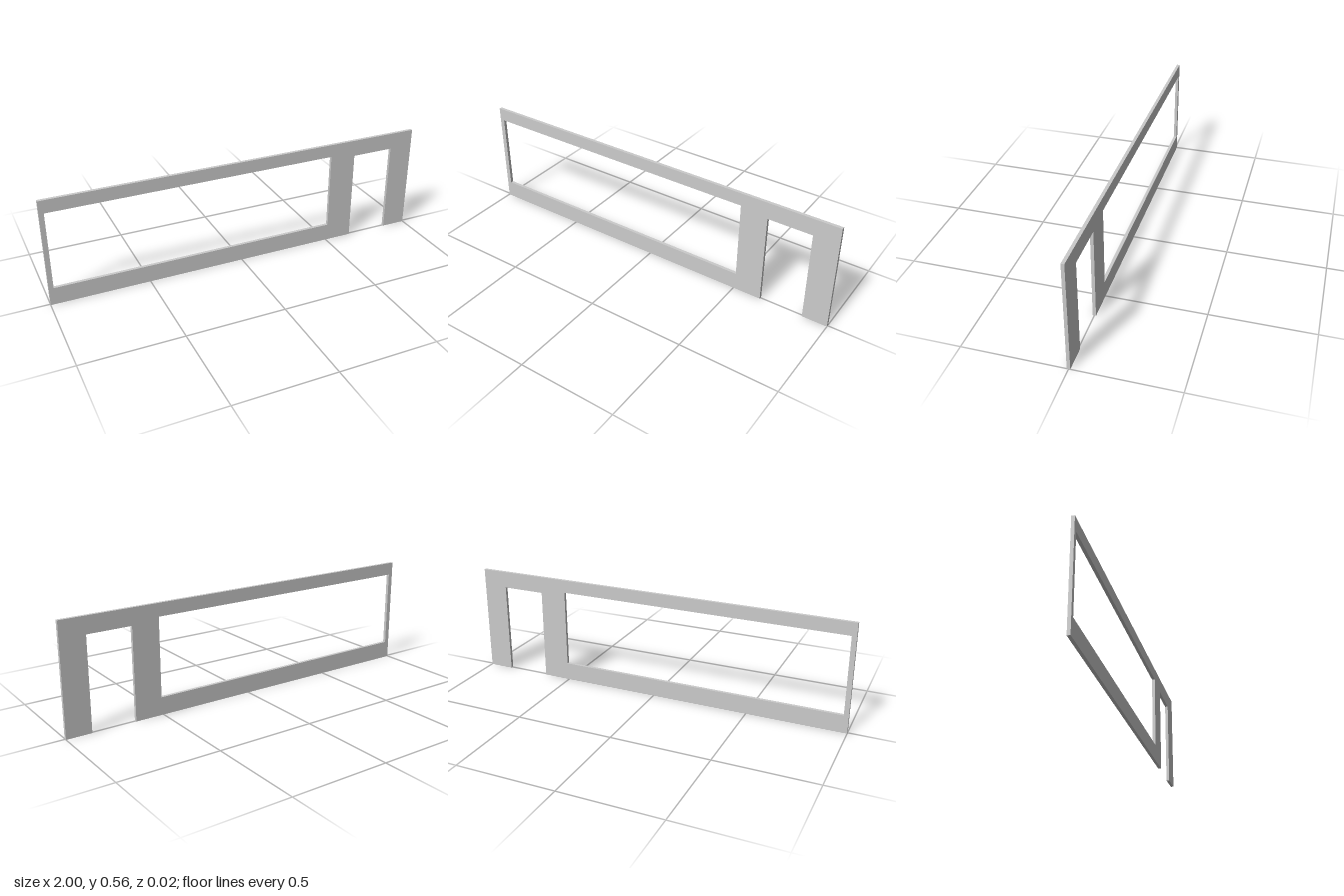
import * as THREE from 'three';

const HEIGHT = 0.556;
const DEPTH = 0.016;

export function createModel() {
  const group = new THREE.Group();
  group.name = 'wallPanel';

  // Wall outline, notched at the bottom by the doorway
  const outline = new THREE.Shape([
    [-1, 0], [0.647, 0], [0.647, 0.47], [0.872, 0.47],
    [0.872, 0], [1, 0], [1, HEIGHT], [-1, HEIGHT],
  ].map(([x, y]) => new THREE.Vector2(x, y)));

  // Wide window opening
  outline.holes.push(new THREE.Path([
    [-0.976, 0.09], [-0.976, 0.49], [0.508, 0.49], [0.508, 0.09],
  ].map(([x, y]) => new THREE.Vector2(x, y))));

  const geometry = new THREE.ExtrudeGeometry(outline, { depth: DEPTH, bevelEnabled: false });
  geometry.translate(0, 0, -DEPTH / 2);

  const wall = new THREE.Mesh(
    geometry,
    new THREE.MeshStandardMaterial({ color: 0xcccccc, flatShading: true }),
  );
  wall.name = 'wallWithWindowAndDoorway';
  group.add(wall);
  return group;
}
